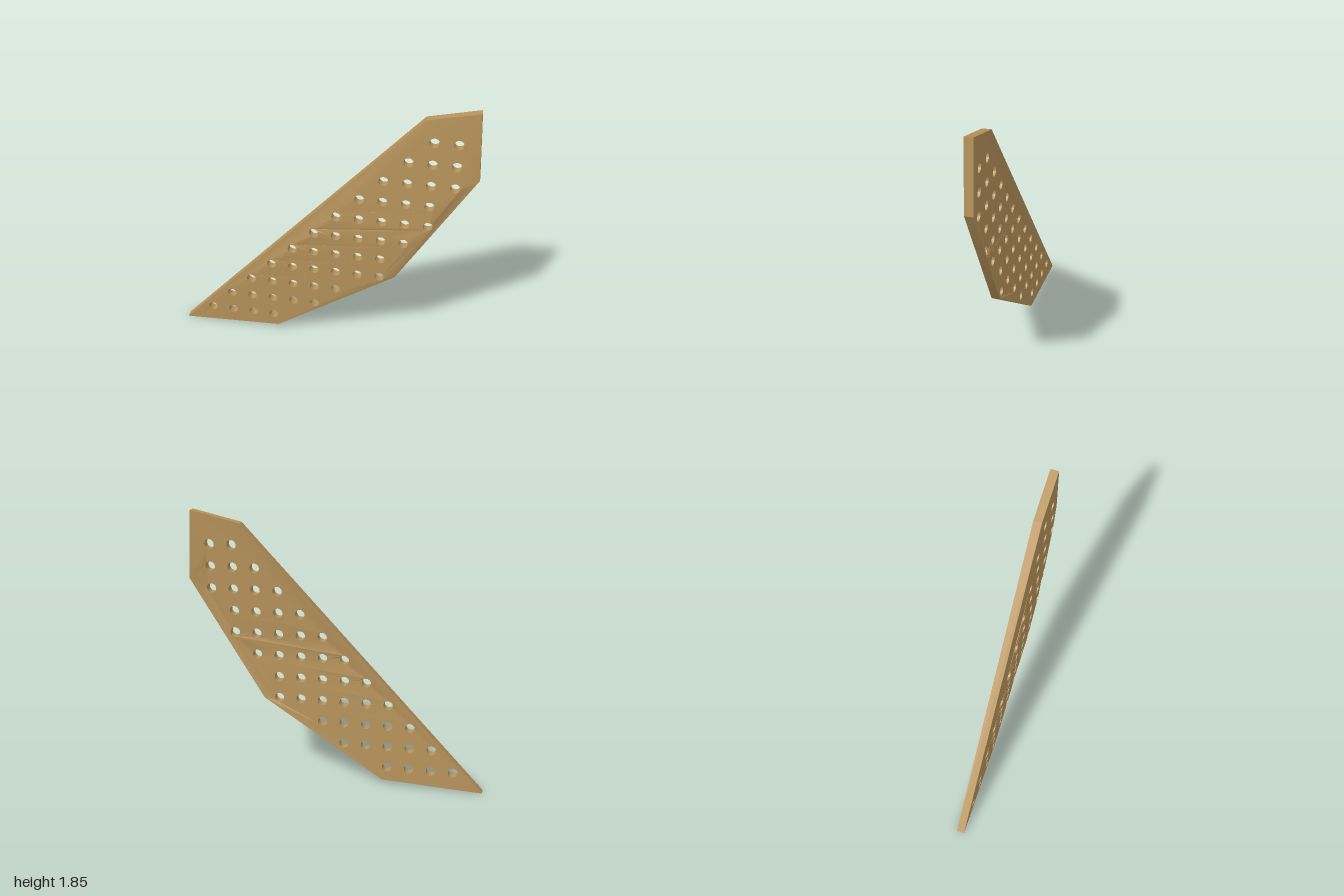
import * as THREE from 'three';
import { toCreasedNormals } from 'three/addons/utils/BufferGeometryUtils.js';

const OUTLINE = [[-1, 0], [-0.315, 0.035], [0.505, 0.58], [0.998, 1.395], [0.97, 1.85], [0.64, 1.775]];
const HOLES_PER_ROW = [4, 5, 5, 6, 5, 5, 5, 4, 4, 3, 2];
const PITCH = 0.15, HOLE_RADIUS = 0.032;
const BACK = -0.041, THICKNESS = 0.055, BULGE = 0.028;

// Distance of a point from the line through a and b
function lineDistance(x, y, [ax, ay], [bx, by]) {
  const dx = bx - ax, dy = by - ay;
  return Math.abs(dx * (y - ay) - dy * (x - ax)) / Math.hypot(dx, dy);
}

// Shallow faceted dome, falling to zero at both ends and both long edges
function bulge(x, y) {
  const upper = lineDistance(x, y, OUTLINE[0], OUTLINE[5]) / 0.11;
  const lower = lineDistance(x, y, OUTLINE[2], OUTLINE[3]) / 0.07;
  return BULGE * Math.max(0, Math.min(1, y / 0.88, (1.85 - y) / 0.88, upper, lower));
}

export function createModel() {
  const group = new THREE.Group();
  group.name = 'perforatedPanel';

  // Outline with staggered rows of round holes
  const shape = new THREE.Shape(OUTLINE.map(([x, y]) => new THREE.Vector2(x, y)));
  HOLES_PER_ROW.forEach((count, row) => {
    for (let i = 0; i < count; i++) {
      const hole = new THREE.Path();
      hole.absarc(-0.797 + (row + i) * PITCH, 0.13 + row * PITCH, HOLE_RADIUS, 0, Math.PI * 2, true);
      shape.holes.push(hole);
    }
  });

  // Extrude, then bend the whole sheet gently forward
  const geometry = new THREE.ExtrudeGeometry(shape, { depth: THICKNESS, bevelEnabled: false, curveSegments: 20 });
  const p = geometry.attributes.position;
  for (let i = 0; i < p.count; i++) {
    p.setZ(i, p.getZ(i) + BACK + bulge(p.getX(i), p.getY(i)));
  }

  const material = new THREE.MeshStandardMaterial({ color: 0xb8945c });
  const panel = new THREE.Mesh(toCreasedNormals(geometry, 0.5), material);
  panel.name = 'panel';
  group.add(panel);
  return group;
}
